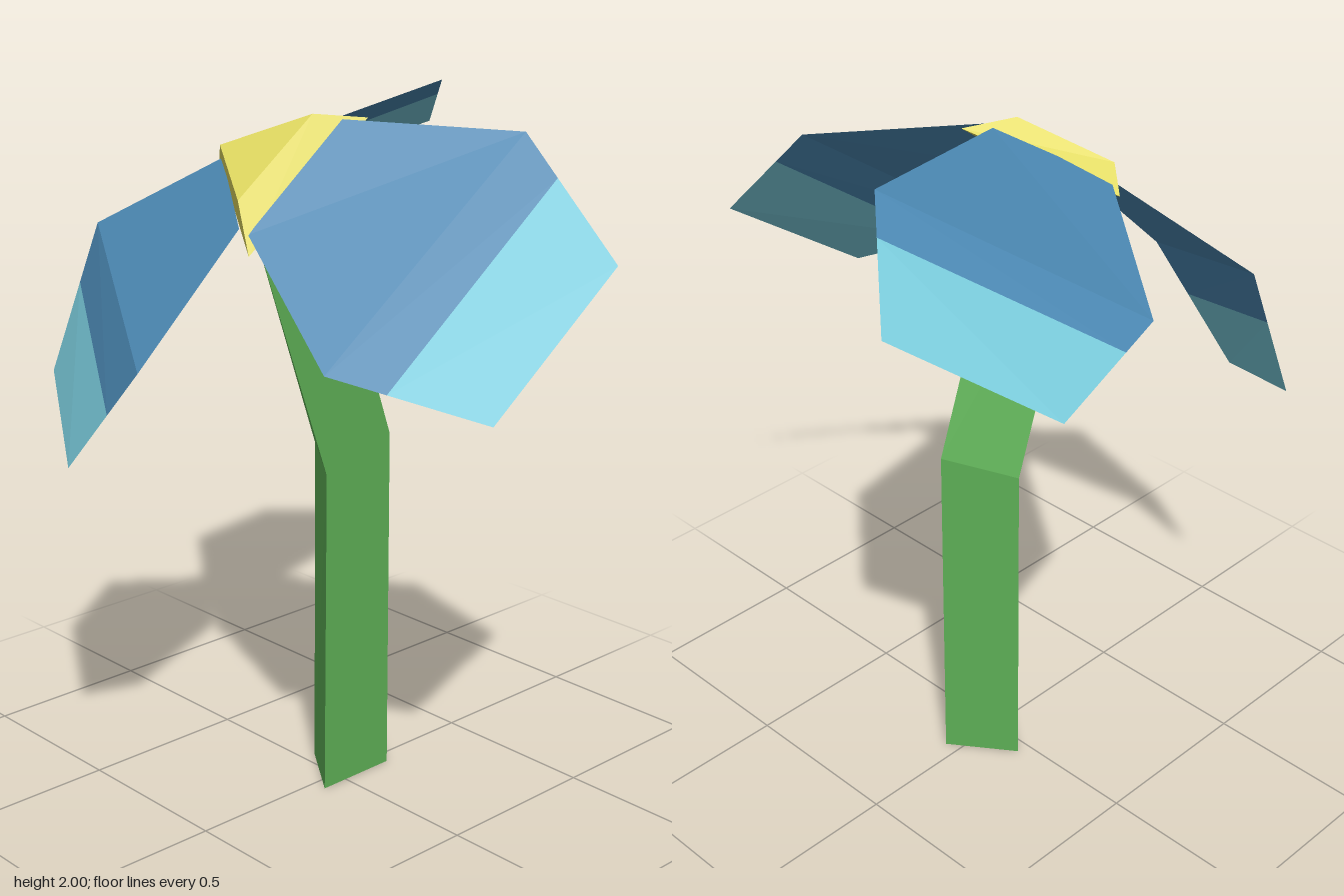
import * as THREE from 'three';

const mat = (name, color, side = THREE.FrontSide) => {
  const m = new THREE.MeshStandardMaterial({ color, side });
  m.name = name;
  return m;
};

// Skins a list of cross-sections (bottom to top) with flat faces.
// Closed sections are three-cornered and get caps; open ones make a sheet.
function loft(sections, closed) {
  const n = sections[0].length;
  const index = [];
  for (let s = 0; s < sections.length - 1; s++) {
    for (let i = 0; i < (closed ? n : n - 1); i++) {
      const j = (i + 1) % n;
      const a = s * n + i, b = s * n + j, c = a + n, d = b + n;
      index.push(a, b, d, a, d, c);
    }
  }
  if (closed) {
    const t = (sections.length - 1) * n;
    index.push(0, 2, 1, t, t + 1, t + 2);
  }
  const indexed = new THREE.BufferGeometry();
  indexed.setAttribute('position', new THREE.Float32BufferAttribute(sections.flat(2), 3));
  indexed.setIndex(index);
  const geometry = indexed.toNonIndexed();
  geometry.computeVertexNormals();
  return geometry;
}

const mix = (a, b, t) => a.map((v, k) => v + (b[k] - v) * t);

export function createModel() {
  const model = new THREE.Group();
  model.name = 'flower';

  const green = mat('stem green', 0x5eb056);
  const yellow = mat('centre yellow', 0xe0d860);
  const blue = mat('petal blue', 0x4a86b0, THREE.DoubleSide);
  const cyan = mat('petal tip cyan', 0x78c8d8, THREE.DoubleSide);

  const add = (parent, name, geometry, material) => {
    const mesh = new THREE.Mesh(geometry, material);
    mesh.name = name;
    parent.add(mesh);
  };

  // Bent three-sided stem
  add(model, 'stem', loft([
    [[-0.085, 0, 0.045], [0.17, 0, 0.045], [0.04, 0, -0.135]],
    [[-0.075, 0.97, 0.045], [0.17, 1.04, 0.045], [0.045, 1.0, -0.135]],
    [[-0.33, 1.7, 0.045], [-0.11, 1.85, 0.045], [-0.21, 1.78, -0.135]],
  ], true), green);

  // Tilted triangular flower centre
  add(model, 'flowerCentre', loft([
    [[-0.4, 1.65, 0.105], [0.02, 1.96, 0.105], [-0.18, 1.825, -0.27]],
    [[-0.37, 1.78, 0.03], [-0.11, 1.975, 0.03], [-0.235, 1.88, -0.2]],
  ], true), yellow);

  // Petals: root, bend and tip edges; the tip colour starts part way past the bend
  const petals = [
    { name: 'frontPetal', t: [0.37, 0.35],
      root: [[-0.38, 1.7, 0.08], [-0.05, 1.96, 0.08]],
      bend: [[-0.44, 1.41, 0.43], [0.29, 1.93, 0.42]],
      tip: [[-0.16, 1.29, 0.74], [0.31, 1.62, 0.73]] },
    { name: 'leftPetal', t: [0.33, 0.32],
      root: [[-0.04, 1.96, 0.05], [-0.2, 1.85, -0.22]],
      bend: [[0.48, 2.0, -0.07], [0.11, 1.72, -0.64]],
      tip: [[0.75, 1.82, -0.38], [0.53, 1.66, -0.74]] },
    { name: 'rightPetal', t: [0.4, 0.43],
      root: [[-0.21, 1.84, -0.22], [-0.38, 1.71, 0.045]],
      bend: [[-0.38, 1.635, -0.565], [-0.72, 1.39, 0.045]],
      tip: [[-0.53, 1.23, -0.595], [-0.75, 1.08, -0.23]] },
  ];
  for (const { name, t, root, bend, tip } of petals) {
    const petal = new THREE.Group();
    petal.name = name;
    const seam = bend.map((p, i) => mix(p, tip[i], t[i]));
    add(petal, 'petalBlade', loft([root, bend, seam], false), blue);
    add(petal, 'petalTip', loft([seam, tip], false), cyan);
    model.add(petal);
  }

  return model;
}
